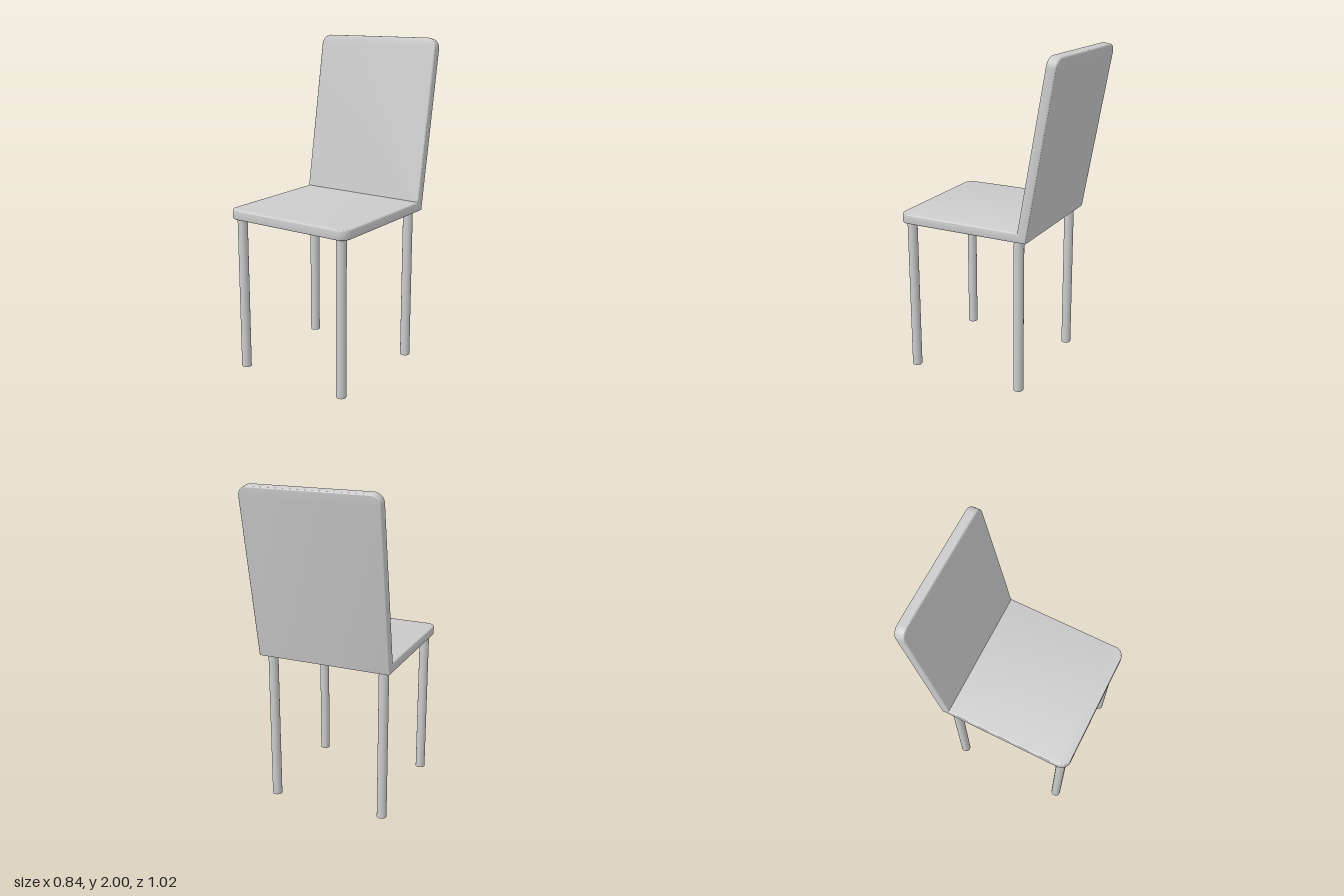
import * as THREE from 'three';
import { toCreasedNormals } from 'three/addons/utils/BufferGeometryUtils.js';

const HALF_W = 0.42;
const THICK = 0.06;
const CORNER = 0.06;
const BEVEL = 0.008;
const RECLINE = THREE.MathUtils.degToRad(9.8);

// Panel with rounded far corners; its near end is mitred to meet the other panel.
// x is across, y runs away from the joint, z = 0..THICK from inner to outer face.
function panelGeometry(length) {
  const s = new THREE.Shape();
  s.moveTo(-HALF_W, 0);
  s.lineTo(HALF_W, 0);
  s.lineTo(HALF_W, length - CORNER);
  s.absarc(HALF_W - CORNER, length - CORNER, CORNER, 0, Math.PI / 2);
  s.lineTo(-HALF_W + CORNER, length);
  s.absarc(-HALF_W + CORNER, length - CORNER, CORNER, Math.PI / 2, Math.PI);
  s.closePath();

  const geo = new THREE.ExtrudeGeometry(s, {
    depth: THICK - 2 * BEVEL,
    bevelThickness: BEVEL,
    bevelSize: BEVEL,
    bevelOffset: -BEVEL,
    bevelSegments: 3,
    curveSegments: 10,
  });
  geo.translate(0, 0, BEVEL);

  // Slant the near end along the bisector of the joint
  const slope = Math.tan((Math.PI / 2 - RECLINE) / 2);
  const p = geo.attributes.position;
  for (let i = 0; i < p.count; i++) {
    if (p.getY(i) < BEVEL * 1.5) p.setY(i, -p.getZ(i) * slope);
  }
  return toCreasedNormals(geo, 0.7);
}

export function createModel() {
  const chair = new THREE.Group();
  chair.name = 'chair';
  const material = new THREE.MeshStandardMaterial({ color: 0xcccccc });

  function add(name, geometry) {
    const mesh = new THREE.Mesh(geometry, material);
    mesh.name = name;
    chair.add(mesh);
    return mesh;
  }

  // Seat, lying flat with its inner face up
  const seat = add('seat', panelGeometry(0.79));
  seat.position.set(0, 1.015, -0.28);
  seat.rotation.x = Math.PI / 2;

  // Backrest, leaning back from the same joint
  const back = add('backrest', panelGeometry(1));
  back.position.copy(seat.position);
  back.rotation.set(-RECLINE, Math.PI, 0);

  // Four round legs
  const legHeight = 0.965;
  const legGeo = new THREE.CylinderGeometry(0.03, 0.03, legHeight, 24);
  for (const [end, z] of [['front', 0.455], ['back', -0.265]]) {
    for (const [side, x] of [['Left', 0.36], ['Right', -0.36]]) {
      add(`${end}${side}Leg`, legGeo).position.set(x, legHeight / 2, z);
    }
  }
  return chair;
}
